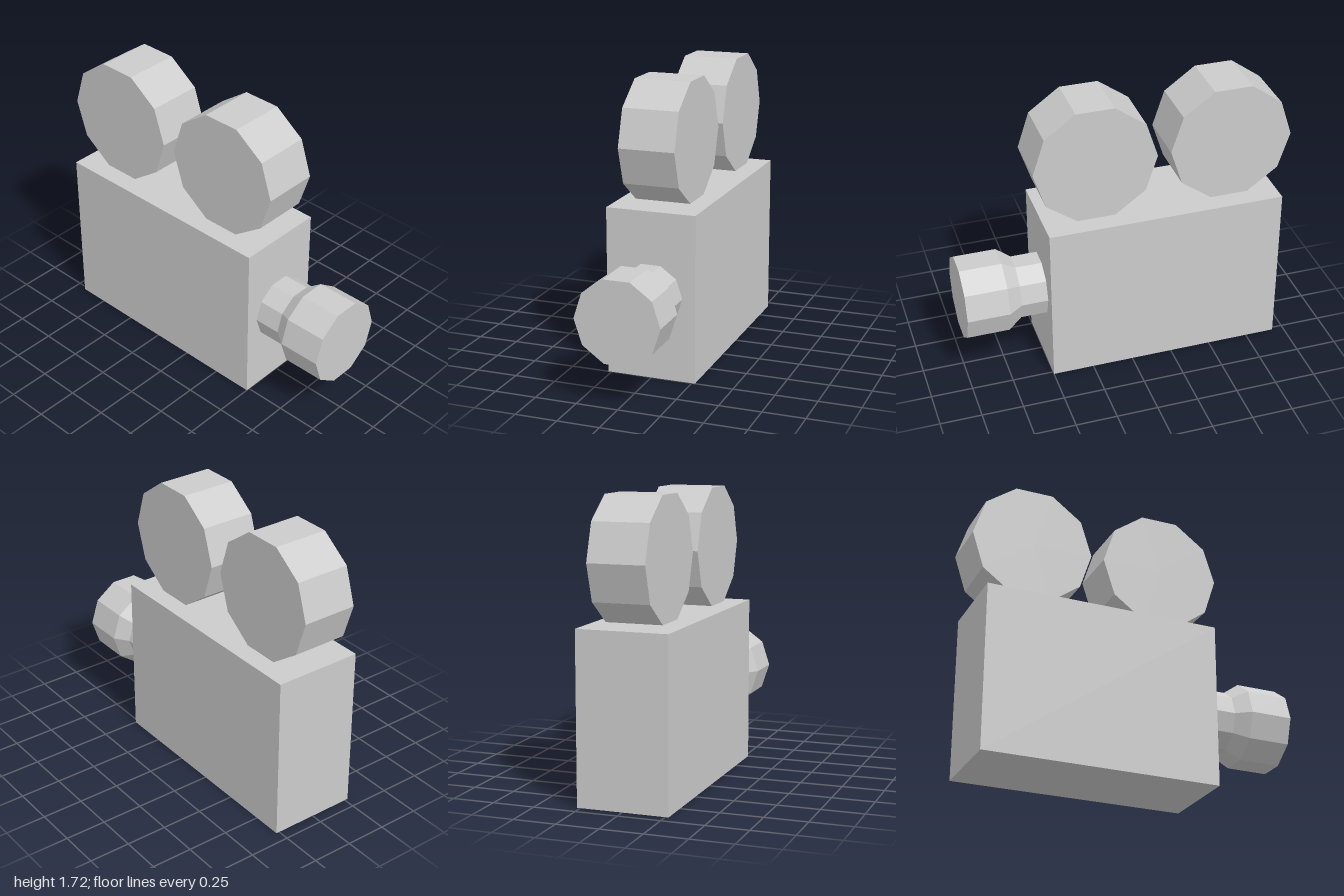
import * as THREE from 'three';

const SIDES = 10;

export function createModel() {
  const model = new THREE.Group();
  model.name = 'filmCamera';
  const material = new THREE.MeshStandardMaterial({ color: 0xcccccc, flatShading: true });

  function add(name, geometry, x, y, z) {
    const mesh = new THREE.Mesh(geometry, material);
    mesh.name = name;
    mesh.position.set(x, y, z);
    model.add(mesh);
  }

  // Camera body
  add('body', new THREE.BoxGeometry(1.43, 1, 0.54), -0.215, 0.5, 0);

  // Two film reels, flat faces to front and back, a corner on each side
  const reel = new THREE.CylinderGeometry(0.37, 0.37, 0.336, SIDES, 1, false, Math.PI / 2);
  reel.rotateX(Math.PI / 2);
  add('rearReel', reel, -0.63, 1.367, 0);
  add('frontReel', reel, 0.19, 1.363, 0);

  // Lens: narrow neck flaring into a wide barrel, closed at both ends
  const profile = [[0, 0], [0.193, 0], [0.193, 0.16], [0.255, 0.245], [0.255, 0.5], [0, 0.5]];
  const lens = new THREE.LatheGeometry(profile.map(([r, h]) => new THREE.Vector2(r, h)), SIDES);
  lens.rotateZ(-Math.PI / 2);
  add('lens', lens, 0.5, 0.502, 0);

  return model;
}
